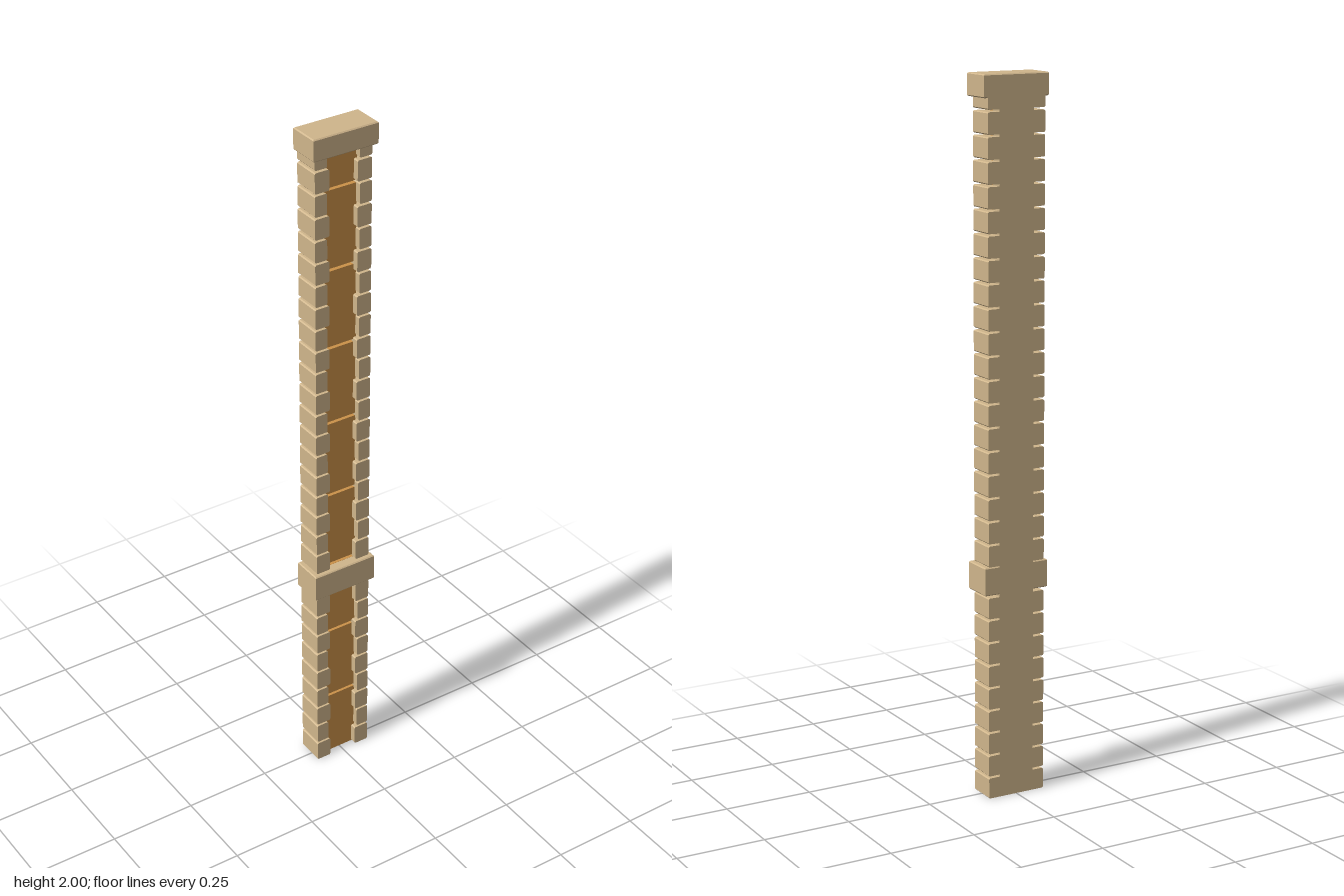
import * as THREE from 'three';

const BACK = -0.046;
const stone = new THREE.MeshStandardMaterial({ color: 0xd0b68c });
stone.name = 'tan stone';
const clay = new THREE.MeshStandardMaterial({ color: 0xcc9249 });
clay.name = 'orange clay';

export function createModel() {
  const model = new THREE.Group();
  model.name = 'pilaster';

  const box = (name, mat, x0, x1, y0, y1, z0, z1) => {
    const mesh = new THREE.Mesh(new THREE.BoxGeometry(x1 - x0, y1 - y0, z1 - z0), mat);
    mesh.position.set((x0 + x1) / 2, (y0 + y1) / 2, (z0 + z1) / 2);
    mesh.name = name;
    model.add(mesh);
  };

  // Rectangle with clipped corners, extruded from the back plane to z1
  const block = (name, x0, x1, y0, y1, z1, c = 0.003) => {
    const shape = new THREE.Shape([
      [x0 + c, y0], [x1 - c, y0], [x1, y0 + c], [x1, y1 - c],
      [x1 - c, y1], [x0 + c, y1], [x0, y1 - c], [x0, y0 + c],
    ].map(([x, y]) => new THREE.Vector2(x, y)));
    const geo = new THREE.ExtrudeGeometry(shape, { depth: z1 - BACK, bevelEnabled: false });
    geo.translate(0, 0, BACK);
    const mesh = new THREE.Mesh(geo, stone);
    mesh.name = name;
    model.add(mesh);
  };

  // Cap and belt slabs with chamfered edges all round
  const slab = (name, y0, y1) => {
    const b = 0.003, w = 0.098, d = 0.046;
    const shape = new THREE.Shape([
      [-w + b, -d + b], [w - b, -d + b], [w - b, d - b], [-w + b, d - b],
    ].map(([x, y]) => new THREE.Vector2(x, y)));
    const geo = new THREE.ExtrudeGeometry(shape, {
      depth: y1 - y0 - 2 * b, bevelThickness: b, bevelSize: b, bevelSegments: 1,
    });
    geo.rotateX(-Math.PI / 2);
    geo.translate(0, y0 + b, 0);
    const mesh = new THREE.Mesh(geo, stone);
    mesh.name = name;
    model.add(mesh);
  };

  // Backing wall, with a thin clay bed on its front
  box('backWall', stone, -0.053, 0.053, 0, 1.945, BACK, -0.012);
  box('clayBed', clay, -0.053, 0.053, 0, 1.945, -0.012, 0.004);

  // Tall infill panels separated by narrow joints
  const pitch = 0.2327;
  for (let i = 0; i < 9; i++) {
    const y0 = i === 0 ? 0 : 0.207 + (i - 1) * pitch + 0.004;
    const y1 = Math.min(0.207 + i * pitch - 0.004, 1.945);
    box('infillPanel', clay, -0.052, 0.052, y0, y1, 0.004, 0.016);
  }

  // Corner stones: wide and narrow courses alternate on both sides
  const course = (i, y0, y1) => {
    const inner = i % 2 === 0 ? 0.043 : 0.05;
    block('leftCornerStone', inner, 0.087, y0, y1, 0.034);
    block('rightCornerStone', -0.087, -inner, y0, y1, 0.034);
  };
  const step = 0.0652;
  for (let i = 0; i < 9; i++) course(i, i * step, i * step + 0.059);
  for (let i = 0; i < 20; i++) {
    const y0 = 0.669 + i * step;
    course(i, y0, Math.min(y0 + 0.059, 1.945));
  }

  slab('belt', 0.588, 0.668);
  slab('cap', 1.938, 2);
  return model;
}
